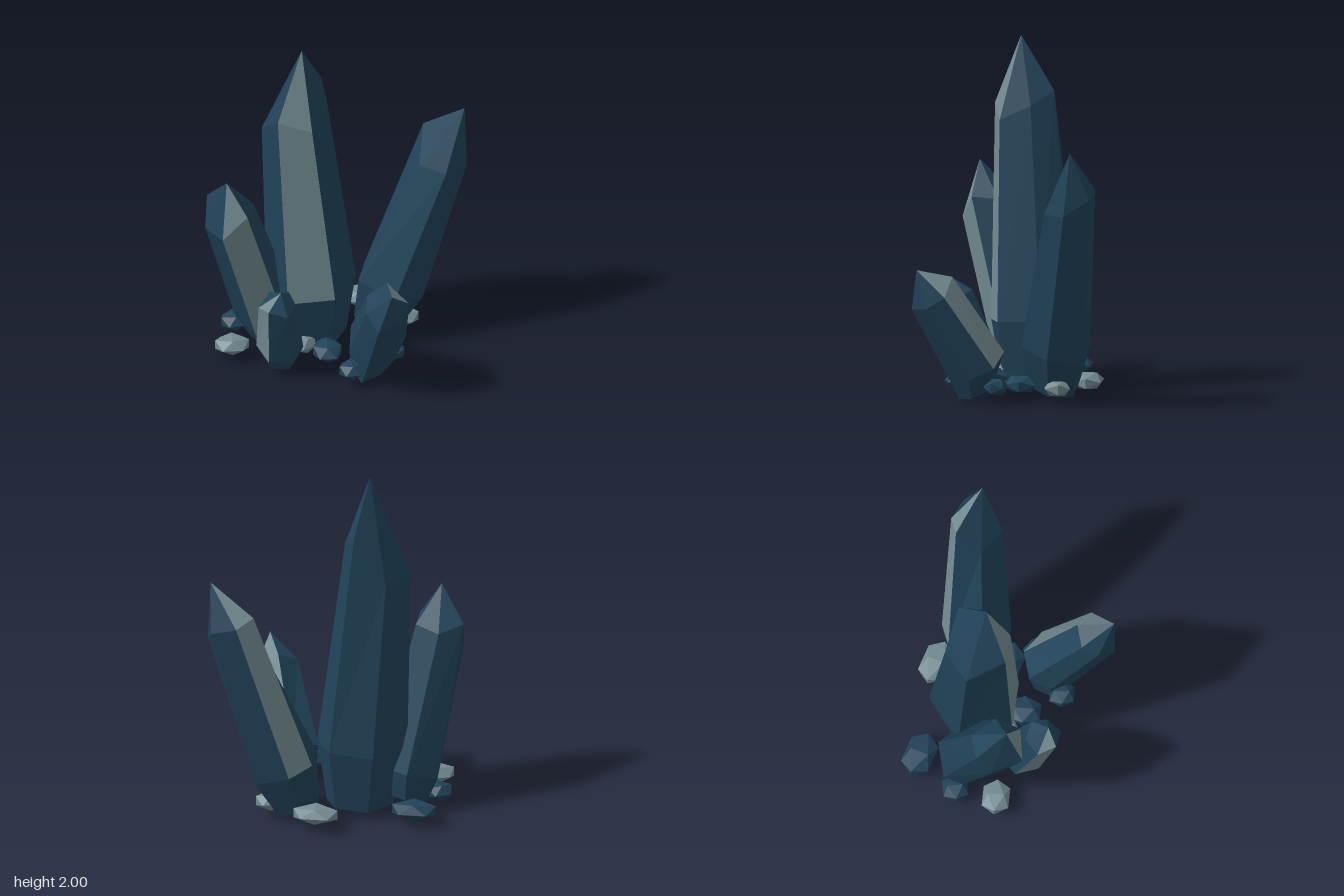
import * as THREE from 'three';

const slate = new THREE.MeshStandardMaterial({ color: 0x214359, flatShading: true });
slate.name = 'dark slate blue';
const mist = new THREE.MeshStandardMaterial({ color: 0x738c92, flatShading: true });
mist.name = 'pale grey blue';

// A pointed crystal: the shoulder outline is repeated, scaled and tilted square to
// the axis, for the waist and the foot. The face at the first edge is pale.
function crystal({ name, tip, shoulder, waist, foot }) {
  const top = shoulder.map((p) => new THREE.Vector3(...p));
  const n = top.length;
  const centre = top.reduce((c, p) => c.addScaledVector(p, 1 / n), new THREE.Vector3());
  const axis = centre.clone().sub(new THREE.Vector3(...waist.at));

  const ring = ({ at, scale }) => top.map((p) => {
    const dx = (p.x - centre.x) * scale;
    const dz = (p.z - centre.z) * scale;
    return new THREE.Vector3(at[0] + dx, at[1] - (dx * axis.x + dz * axis.z) / axis.y, at[2] + dz);
  });
  const mid = ring(waist);
  const low = ring(foot);
  const apex = new THREE.Vector3(...tip);
  const base = new THREE.Vector3(...foot.at);

  const positions = [];
  const geometry = new THREE.BufferGeometry();
  const face = (material, ...points) => {
    geometry.addGroup(positions.length / 3, points.length, material);
    points.forEach((p) => positions.push(p.x, p.y, p.z));
  };
  for (let i = 0; i < n; i++) {
    const j = (i + 1) % n;
    const shade = i === 0 ? 1 : 0;
    face(shade, top[i], top[j], apex);
    face(shade, mid[i], mid[j], top[j], mid[i], top[j], top[i]);
    face(0, low[i], low[j], mid[j], low[i], mid[j], mid[i]);
    face(0, low[j], low[i], base);
  }
  geometry.setAttribute('position', new THREE.Float32BufferAttribute(positions, 3));
  geometry.computeVertexNormals();
  const mesh = new THREE.Mesh(geometry, [slate, mist]);
  mesh.name = name;
  return mesh;
}

// A small flattened stone, pointed at its two long ends
function pebble(name, material, x, z, width, depth, turn) {
  const mesh = new THREE.Mesh(new THREE.IcosahedronGeometry(1, 0).rotateY(Math.PI / 2), material);
  mesh.name = name;
  mesh.scale.set(width / 1.72, 0.053, depth / 1.72);
  mesh.position.set(x, 0.1, z);
  mesh.rotation.y = turn;
  return mesh;
}

export function createModel() {
  const model = new THREE.Group();
  model.name = 'crystalCluster';

  // Crystals
  model.add(
    crystal({
      name: 'mainCrystal',
      tip: [-0.18, 2, -0.02],
      shoulder: [[-0.28, 1.6, 0.14], [-0.095, 1.53, 0.09], [-0.05, 1.62, -0.09],
        [-0.115, 1.7, -0.215], [-0.295, 1.42, -0.22], [-0.412, 1.43, -0.04]],
      waist: { at: [-0.12, 0.41, -0.115], scale: 1.37 },
      foot: { at: [-0.115, 0.05, -0.115], scale: 1.02 },
    }),
    crystal({
      name: 'leftLeaningCrystal',
      tip: [0.663, 1.478, -0.405],
      shoulder: [[0.503, 1.25, -0.527], [0.415, 1.3, -0.46], [0.425, 1.12, -0.31],
        [0.59, 1.12, -0.25], [0.683, 1.12, -0.37], [0.645, 1.21, -0.51]],
      waist: { at: [0.27, 0.32, -0.295], scale: 1.34 },
      foot: { at: [0.19, 0.08, -0.27], scale: 0.92 },
    }),
    crystal({
      name: 'rightCrystal',
      tip: [-0.545, 1.235, 0.26],
      shoulder: [[-0.545, 0.91, 0.357], [-0.42, 1.04, 0.29], [-0.415, 1.03, 0.14],
        [-0.555, 1.02, 0.05], [-0.685, 1.05, 0.135], [-0.675, 0.89, 0.225]],
      waist: { at: [-0.405, 0.21, -0.03], scale: 1.22 },
      foot: { at: [-0.395, 0.06, -0.06], scale: 0.82 },
    }),
    crystal({
      name: 'frontLeftCrystal',
      tip: [0.45, 0.765, 0.485],
      shoulder: [[0.51, 0.62, 0.32], [0.378, 0.72, 0.292], [0.28, 0.67, 0.36],
        [0.295, 0.61, 0.455], [0.38, 0.53, 0.52], [0.485, 0.55, 0.43]],
      waist: { at: [0.272, 0.2, 0.155], scale: 1.32 },
      foot: { at: [0.235, 0.065, 0.165], scale: 0.87 },
    }),
    crystal({
      name: 'smallFrontCrystal',
      tip: [-0.21, 0.615, 0.37],
      shoulder: [[-0.34, 0.49, 0.36], [-0.265, 0.52, 0.44], [-0.16, 0.49, 0.425],
        [-0.135, 0.52, 0.33], [-0.19, 0.55, 0.26], [-0.3, 0.54, 0.27]],
      waist: { at: [-0.243, 0.15, 0.225], scale: 1.27 },
      foot: { at: [-0.245, 0.07, 0.215], scale: 0.92 },
    }),
  );

  // Scattered pebbles: material, x, z, width, depth, turn
  [
    [mist, 0.07, -0.43, 0.25, 0.16, 0],
    [mist, -0.53, 0.19, 0.19, 0.15, 0.3],
    [mist, -0.135, 0.1, 0.13, 0.1, 0.8],
    [mist, 0.34, -0.29, 0.17, 0.14, 0.2],
    [slate, -0.465, -0.3, 0.25, 0.165, 0],
    [slate, -0.57, -0.04, 0.15, 0.14, 0.5],
    [slate, 0.235, -0.075, 0.215, 0.18, 0],
    [slate, 0, 0.13, 0.16, 0.19, 0.3],
    [slate, 0.355, 0.05, 0.14, 0.12, -0.3],
    [slate, 0.175, 0.285, 0.14, 0.14, 0.4],
  ].forEach((p, i) => model.add(pebble(`pebble${i + 1}`, ...p)));

  return model;
}
